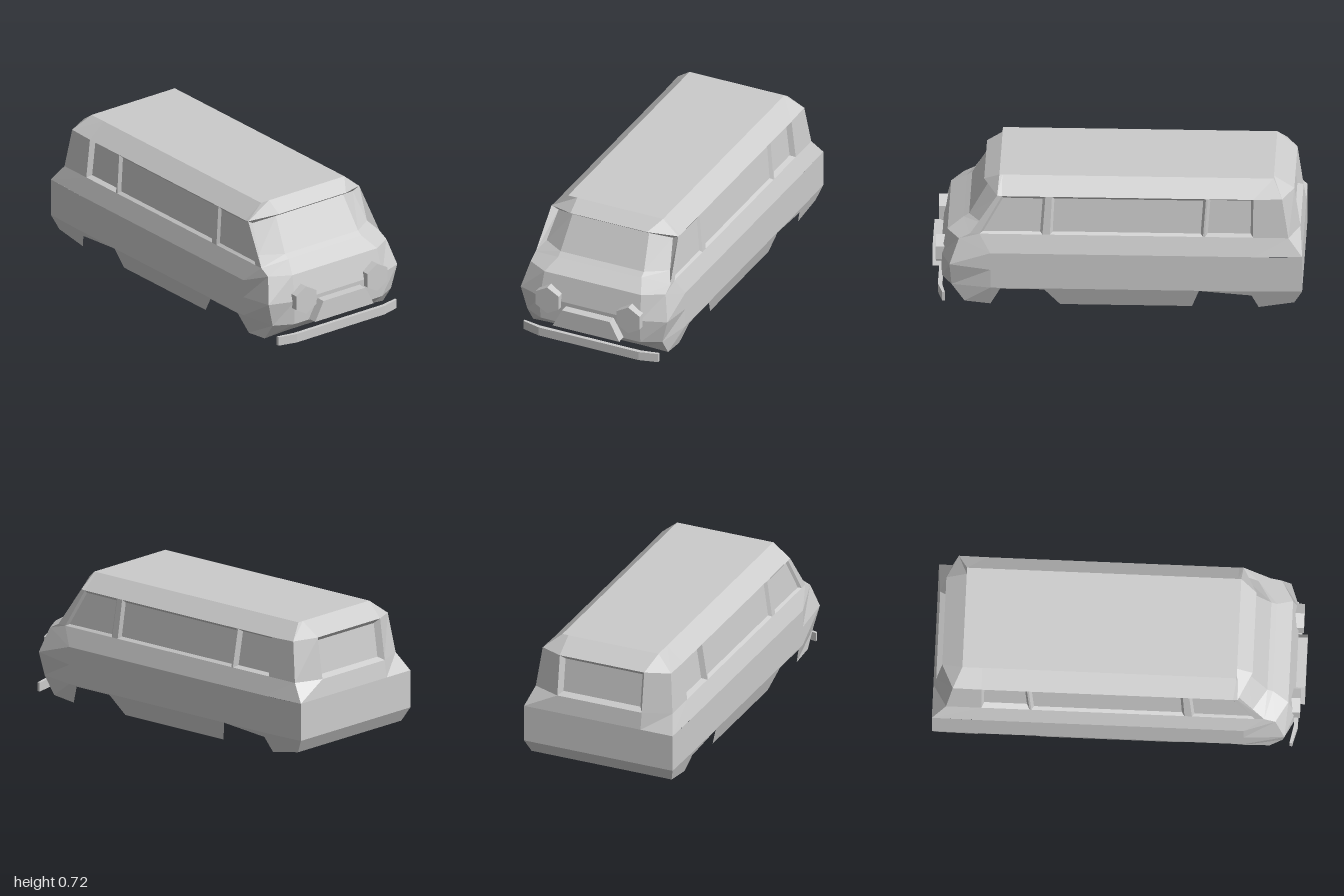
import * as THREE from 'three';

const mat = new THREE.MeshStandardMaterial({ color: 0xcccccc, flatShading: true, side: THREE.DoubleSide });
const mirror = (p) => [-p[0], p[1], p[2]];

// Collects quads; each one is also mirrored to the other side unless it crosses the middle.
class Panels {
  constructor() { this.pos = []; }
  quad(a, b, c, d) { for (const p of [a, b, c, a, c, d]) this.pos.push(...p); }
  pair(a, b, c, d) {
    this.quad(a, b, c, d);
    this.quad(mirror(b), mirror(a), mirror(d), mirror(c));
  }
  front(low, up) { this.quad(mirror(low), low, up, mirror(up)); }
  back(low, up) { this.quad(low, mirror(low), mirror(up), up); }
  mesh(name) {
    const g = new THREE.BufferGeometry();
    g.setAttribute('position', new THREE.Float32BufferAttribute(this.pos, 3));
    g.computeVertexNormals();
    const m = new THREE.Mesh(g, mat);
    m.name = name;
    return m;
  }
}

// Corners of a quad moved inwards by a margin and sunk by a depth.
function sunken(corners, margin, depth) {
  const v = corners.map((p) => new THREE.Vector3(...p));
  const n = v[1].clone().sub(v[0]).cross(v[3].clone().sub(v[0])).normalize();
  return v.map((p, i) => {
    const q = p.clone().addScaledVector(n, -depth);
    for (const k of [1, 3]) q.addScaledVector(v[(i + k) % 4].clone().sub(p).normalize(), margin);
    return q.toArray();
  });
}

// Lower shell: rows from the sill up to the belt, columns from nose to tail.
function lowerBody() {
  const P = new Panels();
  const sill = [[0.68, 0], [0.627, 0.107], [0.39, 0.107], [0.305, 0.003], [-0.406, 0.003],
    [-0.444, 0.112], [-0.727, 0.085], [-0.765, 0.003]];
  const side = (y) => sill.map(([z]) => [0.44, y, z]);
  const rows = [
    [[0.3, 0.045, 0.86], [0.405, 0.016, 0.82],
      ...sill.map(([z, y]) => [0.403 + 0.33 * y, y, z]), [0.415, 0.04, -0.957], [0.25, 0.04, -0.957]],
    [[0.3, 0.115, 0.945], [0.405, 0.115, 0.89], ...side(0.113), [0.44, 0.117, -1], [0.25, 0.117, -1]],
    [[0.3, 0.25, 0.95], [0.44, 0.25, 0.9], ...side(0.22), [0.44, 0.22, -1], [0.25, 0.22, -1]],
    [[0.29, 0.39, 0.915], [0.405, 0.39, 0.85], ...side(0.32), [0.44, 0.325, -1], [0.25, 0.325, -1]],
  ];
  for (let r = 0; r < rows.length - 1; r++) {
    const lo = rows[r], up = rows[r + 1], n = lo.length - 1;
    for (let c = 0; c < n; c++) P.pair(lo[c], lo[c + 1], up[c + 1], up[c]);
    P.front(lo[0], up[0]);
    P.back(lo[n], up[n]);
  }
  return P.mesh('lowerBody');
}

// Upper shell with sunken windows, and the roof.
function upperBody() {
  const body = new Panels(), glass = new Panels(), roof = new Panels();
  const bottomZ = [0.74, 0.4, 0.36, -0.465, -0.475, -0.735];
  const topZ = [0.62, 0.385, 0.35, -0.48, -0.49, -0.735];
  const line = (x, y, zs) => zs.map((z) => [x, y, z]);
  const rows = [
    [[0.29, 0.39, 0.915], [0.405, 0.39, 0.85], ...line(0.44, 0.32, [0.68, ...bottomZ.slice(1)]),
      [0.44, 0.325, -1], [0.25, 0.325, -1]],
    [[0.25, 0.445, 0.83], [0.404, 0.42, 0.79], ...line(0.405, 0.42, bottomZ),
      [0.405, 0.42, -0.925], [0.25, 0.42, -0.985]],
    [[0.23, 0.665, 0.72], [0.38, 0.638, 0.645], ...line(0.38, 0.635, topZ),
      [0.38, 0.64, -0.89], [0.25, 0.647, -0.952]],
    [[0.23, 0.718, 0.636], [0.285, 0.718, 0.636], ...line(0.285, 0.718, topZ),
      [0.285, 0.718, -0.842], [0.25, 0.718, -0.842]],
  ];
  const n = rows[0].length - 1;
  const sideWindows = { 2: 0.012, 4: 0.016, 6: 0.028 };
  for (let r = 0; r < 3; r++) {
    const lo = rows[r], up = rows[r + 1];
    for (let c = 0; c < n; c++) {
      if (r === 1 && c === 0) continue; // windscreen corner
      const cell = [lo[c], lo[c + 1], up[c + 1], up[c]];
      if (r === 1 && sideWindows[c]) {
        const inner = sunken(cell, 0.014, sideWindows[c]);
        for (let i = 0; i < 4; i++) {
          const k = (i + 1) % 4;
          body.pair(cell[i], cell[k], inner[k], inner[i]);
        }
        glass.pair(...inner);
      } else (r === 2 ? roof : body).pair(...cell);
    }
    if (r !== 1) {
      (r === 2 ? roof : body).front(lo[0], up[0]);
      (r === 2 ? roof : body).back(lo[n], up[n]);
    }
  }

  // Wrap-around windscreen under the brow
  const [, lo, up] = rows;
  const low0 = [0.25, 0.465, 0.8], low1 = [0.37, 0.465, 0.725];
  const top0 = [0.23, 0.647, 0.695], top1 = [0.343, 0.615, 0.635];
  body.front(lo[0], low0);
  body.pair(lo[0], lo[1], low1, low0);
  body.pair(low1, lo[1], up[1], top1);
  body.pair(top0, top1, up[1], up[0]);
  body.front(top0, up[0]);
  glass.front(low0, top0);
  glass.pair(low0, low1, top1, top0);

  // Rear window
  const hole = [lo[n], mirror(lo[n]), mirror(up[n]), up[n]];
  const pane = sunken(hole, 0.022, 0.03);
  for (let i = 0; i < 4; i++) {
    const k = (i + 1) % 4;
    body.quad(hole[i], hole[k], pane[k], pane[i]);
  }
  glass.quad(...pane);

  // Flat roof top
  const f = rows[3][1], b = rows[3][n - 1];
  roof.quad(mirror(f), f, b, mirror(b));
  return [body.mesh('upperBody'), glass.mesh('windows'), roof.mesh('roof')];
}

// Outline extruded by a depth
function slab(name, points, depth) {
  const shape = new THREE.Shape(points.map(([x, y]) => new THREE.Vector2(x, y)));
  const m = new THREE.Mesh(new THREE.ExtrudeGeometry(shape, { depth, bevelEnabled: false }), mat);
  m.name = name;
  return m;
}

export function createModel() {
  const van = new THREE.Group();
  van.name = 'van';
  van.add(lowerBody(), ...upperBody());

  // Hexagonal headlights
  for (const s of [-1, 1]) {
    const lamp = new THREE.Mesh(new THREE.CylinderGeometry(0.08, 0.08, 0.05, 6), mat);
    lamp.name = s > 0 ? 'leftHeadlight' : 'rightHeadlight';
    lamp.rotation.x = Math.PI / 2;
    lamp.position.set(s * 0.243, 0.253, 0.953);
    van.add(lamp);
  }

  // Raised nose panel
  const nose = slab('nosePanel', [[-0.2, 0.12], [0.2, 0.12], [0.143, 0.228], [-0.143, 0.228]], 0.06);
  nose.position.z = 0.94;
  van.add(nose);

  // Bumper bar with swept-back ends, drawn in plan
  const bumper = slab('frontBumper', [[-0.405, 0.925], [-0.3, 0.945], [0.3, 0.945], [0.405, 0.925],
    [0.405, 0.94], [0.3, 0.967], [-0.3, 0.967], [-0.405, 0.94]], 0.05);
  bumper.rotation.x = Math.PI / 2;
  bumper.position.y = 0.065;
  van.add(bumper);
  return van;
}
